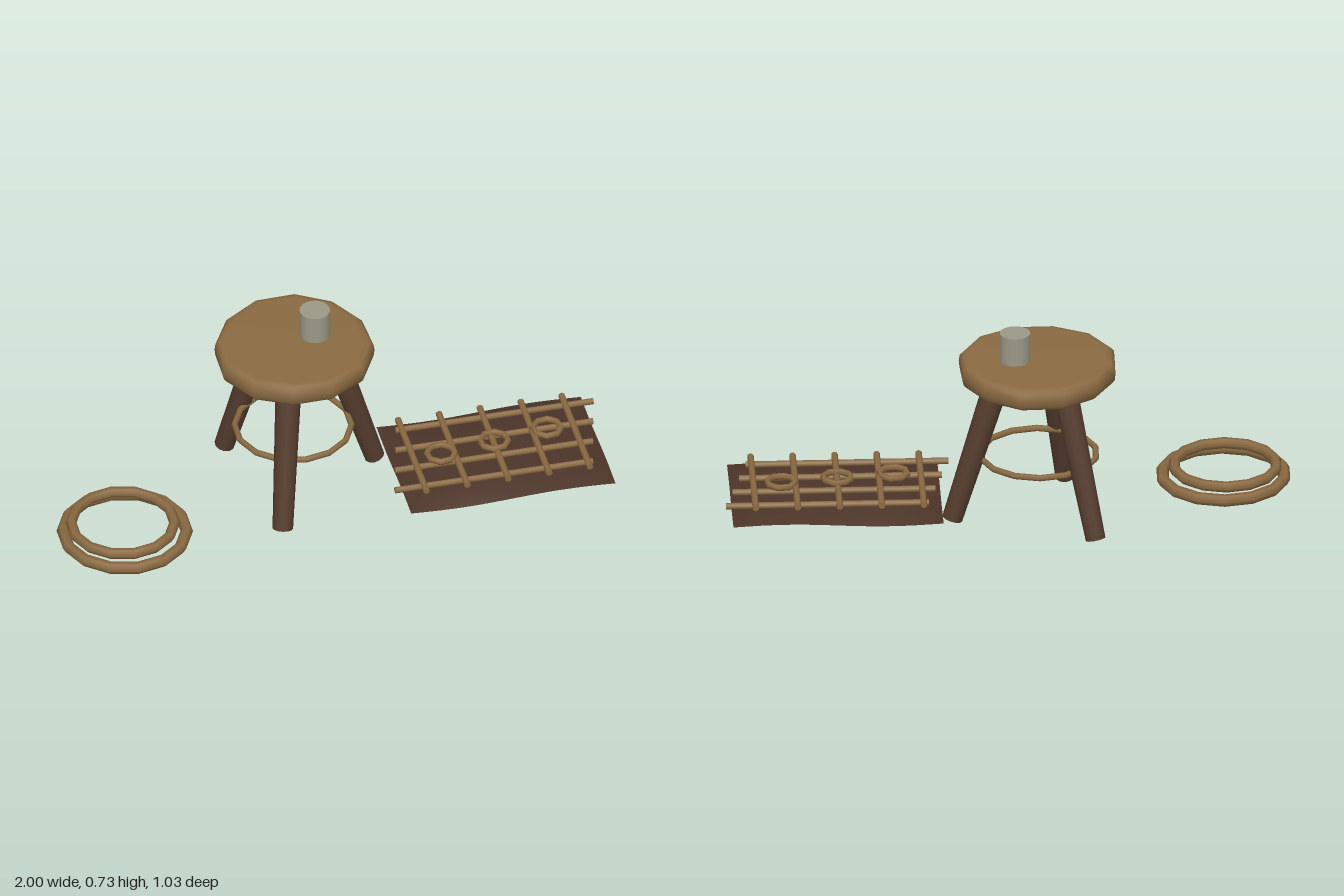
import * as THREE from 'three';

const mat = (name, color) => {
  const m = new THREE.MeshStandardMaterial({ color });
  m.name = name;
  return m;
};

export function createModel() {
  const tan = mat('tan wood', 0x8a6a42);
  const brown = mat('dark wood', 0x553c2e);
  const hide = mat('dark hide', 0x4c3428);
  const grey = mat('grey clay', 0x9c9886);
  const root = new THREE.Group();
  root.name = 'stoolAndCrafts';

  const add = (parent, name, geo, material, x = 0, y = 0, z = 0) => {
    const m = new THREE.Mesh(geo, material);
    m.name = name;
    m.position.set(x, y, z);
    parent.add(m);
    return m;
  };
  // Flat-lying hoop
  const hoop = (parent, name, R, r, x, y, z, sides = 14) =>
    add(parent, name, new THREE.TorusGeometry(R, r, 6, sides).rotateX(Math.PI / 2), tan, x, y, z);
  // Round bar between two points
  const bar = (parent, name, a, b, rA, rB, material, sides) => {
    const d = b.clone().sub(a);
    const m = add(parent, name, new THREE.CylinderGeometry(rB, rA, d.length(), sides), material);
    m.position.copy(a).add(b).multiplyScalar(0.5);
    m.quaternion.setFromUnitVectors(new THREE.Vector3(0, 1, 0), d.normalize());
    return m;
  };

  // Stool
  const stool = new THREE.Group();
  stool.name = 'stool';
  stool.position.set(-0.15, 0, -0.095);
  root.add(stool);

  // Seat: rounded slab with a slightly uneven outline
  const profile = [[0, 0.537], [0.25, 0.537], [0.272, 0.541], [0.284, 0.555], [0.287, 0.58],
    [0.284, 0.604], [0.272, 0.617], [0.25, 0.621], [0, 0.622]].map(p => new THREE.Vector2(...p));
  const seat = new THREE.LatheGeometry(profile, 12);
  const sp = seat.attributes.position;
  for (let i = 0; i < sp.count; i++) {
    const x = sp.getX(i), z = sp.getZ(i);
    const k = 1 + 0.014 * Math.sin(3 * Math.atan2(z, x) + 0.6);
    sp.setXYZ(i, x * k, sp.getY(i), z * k * 1.02);
  }
  add(stool, 'seat', seat, tan);

  // Three splayed legs
  for (let i = 0; i < 3; i++) {
    const a = (97 + i * 120) * Math.PI / 180;
    const at = (r, y) => new THREE.Vector3(r * Math.cos(a), y, r * Math.sin(a));
    bar(stool, 'leg', at(0.313, 0.011), at(0.145, 0.55), 0.037, 0.047, brown, 12);
  }
  hoop(stool, 'legRing', 0.21, 0.0115, -0.003, 0.241, 0);
  add(stool, 'cup', new THREE.CylinderGeometry(0.055, 0.055, 0.11, 20), grey, 0.075, 0.675, -0.04);

  // Two stacked hoops
  hoop(root, 'lowerHoop', 0.2225, 0.0225, -0.755, 0.042, 0.275);
  hoop(root, 'upperHoop', 0.186, 0.02, -0.762, 0.079, 0.275);

  // Hide mat: puffed sheet that tapers to its edges
  const W = 0.755, D = 0.525;
  const turn = 14 * Math.PI / 180;
  const matGroup = new THREE.Group();
  matGroup.name = 'hideMat';
  matGroup.position.set(0.575, 0.046, -0.174);
  matGroup.rotation.y = turn;
  root.add(matGroup);
  for (const side of [1, -1]) {
    const g = new THREE.PlaneGeometry(W, D, 14, 10).rotateX(-side * Math.PI / 2);
    const p = g.attributes.position;
    for (let i = 0; i < p.count; i++) {
      const u = p.getX(i) / (W / 2), v = p.getZ(i) / (D / 2);
      const puff = (1 - Math.abs(u) ** 5) * (1 - Math.abs(v) ** 5);
      const wave = 0.007 * Math.sin(u * Math.PI) * Math.abs(v) ** 4
        + 0.005 * Math.sin(v * Math.PI) * Math.abs(u) ** 4;
      p.setY(i, side * 0.029 * puff + wave);
    }
    g.computeVertexNormals();
    add(matGroup, side > 0 ? 'matTop' : 'matUnderside', g, hide);
  }

  // Lattice of rods over the mat
  const lattice = new THREE.Group();
  lattice.name = 'lattice';
  lattice.position.set(0.568, 0, -0.174);
  root.add(lattice);
  const uDir = new THREE.Vector3(Math.cos(turn), 0, -Math.sin(turn));
  const vDir = new THREE.Vector3(Math.sin(turn), 0, Math.cos(turn));
  const rod = (name, c, dir, half) => bar(lattice, name,
    c.clone().addScaledVector(dir, -half), c.clone().addScaledVector(dir, half), 0.012, 0.012, tan, 8);
  for (let i = 0; i < 4; i++)
    rod('longRod', new THREE.Vector3(0, 0.089, (i - 1.5) * 0.118), uDir, 0.365);
  for (let i = -2; i <= 2; i++)
    rod('crossRod', uDir.clone().multiplyScalar(i * 0.151).setY(0.1), vDir, 0.218);

  // Small rings tied on the lattice
  for (let i = -1; i <= 1; i++)
    hoop(lattice, 'latticeRing', 0.051, 0.012, i * 0.19, 0.113, -i * 0.077, 8);

  return root;
}
